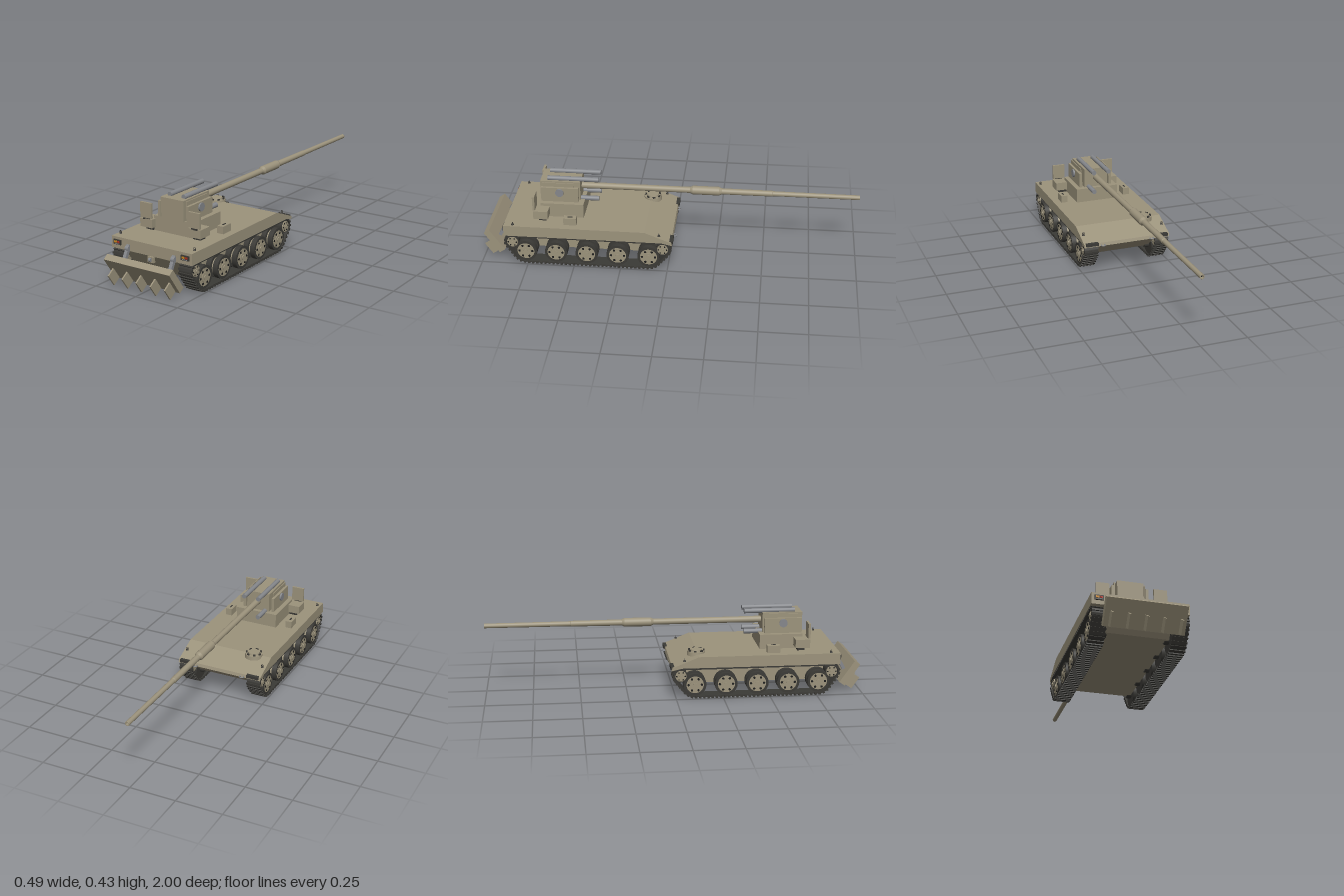
import * as THREE from 'three';

const mat = (color) => new THREE.MeshStandardMaterial({ color });
const TAN = mat(0x9c937c), DARK = mat(0x3b3a36), STEEL = mat(0x85878b);
const ORANGE = mat(0xd08a20), RED = mat(0xb03020), BLACK = mat(0x1c1c1c);

export function createModel() {
  const model = new THREE.Group();
  model.name = 'selfPropelledGun';

  const add = (name, geo, material, x = 0, y = 0, z = 0, parent = model) => {
    const m = new THREE.Mesh(geo, material);
    m.name = name;
    m.position.set(x, y, z);
    parent.add(m);
    return m;
  };
  const box = (name, w, h, d, x, y, z, material = TAN, parent = model) =>
    add(name, new THREE.BoxGeometry(w, h, d), material, x, y, z, parent);
  // cylinder lying along x
  const disc = (name, r, w, x, y, z, material = TAN, parent = model, seg = 28) =>
    add(name, new THREE.CylinderGeometry(r, r, w, seg).rotateZ(Math.PI / 2), material, x, y, z, parent);
  // cylinder lying along z, between z0 and z1
  const rod = (name, r, z0, z1, x, y, material = STEEL) =>
    add(name, new THREE.CylinderGeometry(r, r, Math.abs(z1 - z0), 24).rotateX(Math.PI / 2), material, x, y, (z0 + z1) / 2);
  const toShape = (pts) => new THREE.Shape(pts.map(([z, y]) => new THREE.Vector2(z, y)));
  // side profile in (z, y), extruded across x and centred
  const prism = (shape, width) => new THREE.ExtrudeGeometry(shape, { depth: width, bevelEnabled: false })
    .translate(0, 0, -width / 2).rotateY(-Math.PI / 2);

  // Hull
  add('upperHull', prism(toShape([[0.873, 0.168], [0.873, 0.228], [0.12, 0.228], [-0.02, 0.172],
    [-0.025, 0.155], [0.03, 0.168]]), 0.49), TAN);
  add('lowerHull', prism(toShape([[0.873, 0.172], [0.79, 0.065], [0.1, 0.065], [-0.022, 0.156], [0.04, 0.18]]), 0.326), TAN);

  // Tracks and running gear
  const wheels = [0.76, 0.597, 0.432, 0.266, 0.1];
  const support = (grow) => {
    const circles = [[0.83, 0.127, 0.033], [0.025, 0.124, 0.034], [0.76, 0.075, 0.061], [0.1, 0.075, 0.061]];
    const pts = [];
    for (let i = 0; i < 96; i++) {
      const a = (i / 96) * Math.PI * 2, c = Math.cos(a), s = Math.sin(a);
      const reach = (k) => k[0] * c + k[1] * s + k[2];
      const k = circles.reduce((b, q) => (reach(q) > reach(b) ? q : b));
      pts.push([k[0] + (k[2] + grow) * c, k[1] + (k[2] + grow) * s]);
    }
    return pts.concat([pts[0]]);
  };
  const wheelFace = (parent, r, x, y, z, s) => {
    disc('wheelDisc', r, 0.066, x, y, z, TAN, parent);
    disc('wheelRim', r * 0.55, 0.072, x, y, z, TAN, parent);
    disc('hubCap', r * 0.26, 0.08, x, y, z, TAN, parent, 16);
    for (let i = 0; i < 6; i++) {
      const a = (i / 6) * Math.PI * 2;
      disc('wheelHole', r * 0.14, 0.002, x + s * 0.0335, y + Math.sin(a) * r * 0.76, z + Math.cos(a) * r * 0.76, BLACK, parent, 10);
    }
  };
  const band = toShape(support(0.007));
  band.holes.push(new THREE.Path(support(0).reverse().map((p) => new THREE.Vector2(...p))));
  const links = toShape(support(0.008)).getSpacedPoints(88);
  for (const s of [-1, 1]) {
    const gear = new THREE.Group();
    gear.name = s > 0 ? 'leftTrack' : 'rightTrack';
    model.add(gear);
    add('trackBand', prism(band, 0.076), DARK, s * 0.203, 0, 0, gear);
    for (let i = 0; i < 88; i++) {
      const p = links[i], q = links[i + 1];
      const link = box('trackLink', 0.08, 0.012, 0.011, s * 0.203, (p.y + q.y) / 2, (p.x + q.x) / 2, DARK, gear);
      link.rotation.x = -Math.atan2(q.y - p.y, q.x - p.x);
    }
    for (const z of wheels) {
      for (const dx of [-0.021, 0.021]) disc('tyre', 0.06, 0.027, s * (0.203 + dx), 0.075, z, DARK, gear, 36);
      disc('axle', 0.02, 0.06, s * 0.175, 0.075, z, DARK, gear);
      wheelFace(gear, 0.046, s * 0.205, 0.075, z, s);
    }
    for (const [z, y] of [[0.83, 0.127], [0.025, 0.124]]) {
      disc('sprocketRing', 0.034, 0.06, s * 0.203, y, z, DARK, gear);
      wheelFace(gear, 0.029, s * 0.205, y, z, s);
    }
  }

  // Recoil spade: box tilted so that its top leans forward
  const spade = new THREE.Group();
  spade.name = 'recoilSpade';
  spade.position.set(0, 0.0865, 0.945);
  spade.rotation.x = 0.608;
  model.add(spade);
  box('spadeBlade', 0.4, 0.14, 0.036, 0, 0.007, -0.014, TAN, spade);
  for (let i = -2; i <= 2; i++) box('spadeTooth', 0.008, 0.072, 0.05, i * 0.086, -0.022, 0.028, TAN, spade);
  for (const s of [-1, 1]) {
    const arm = box('spadeArm', 0.018, 0.1, 0.018, s * 0.14, 0.155, 0.893, STEEL);
    arm.rotation.x = -0.5;
    disc('spadePivot', 0.014, 0.02, s * 0.14, 0.182, 0.879, STEEL);
  }
  box('frontBracket', 0.036, 0.03, 0.014, 0, 0.152, 0.872, TAN);
  disc('frontHook', 0.01, 0.012, 0, 0.152, 0.882, STEEL);

  // Lamp clusters
  for (const s of [-1, 1]) {
    box('lampHousing', 0.046, 0.025, 0.008, s * 0.207, 0.202, 0.876, DARK);
    box('orangeLamp', 0.017, 0.01, 0.004, s * 0.207 - 0.009, 0.204, 0.88, ORANGE);
    box('redLamp', 0.013, 0.01, 0.004, s * 0.207 + 0.01, 0.204, 0.88, RED);
    box('lampStrip', 0.03, 0.003, 0.004, s * 0.207, 0.194, 0.88, STEEL);
    box('rearLamp', 0.07, 0.016, 0.03, s * 0.2, 0.168, -0.014, DARK);
    const ring = add('towRing', new THREE.TorusGeometry(0.011, 0.003, 8, 16), STEEL, s * 0.14, 0.16, -0.03);
    ring.rotation.x = Math.PI / 2;
    // lifting eyes on the deck
    for (const [z, y] of [[0.825, 0.229], [0.045, 0.203]]) {
      add('eyeBase', new THREE.CylinderGeometry(0.005, 0.008, 0.008, 10), DARK, s * 0.227, y + 0.002, z);
      add('liftingEye', new THREE.TorusGeometry(0.005, 0.0018, 6, 12), DARK, s * 0.227, y + 0.009, z);
    }
  }

  // Driver hatch
  add('hatchRing', new THREE.CylinderGeometry(0.047, 0.049, 0.022, 32), TAN, -0.145, 0.226, 0.115);
  add('hatchLid', new THREE.CylinderGeometry(0.03, 0.033, 0.012, 32), TAN, -0.145, 0.24, 0.115);
  for (let i = 0; i < 7; i++) {
    const a = (i / 7) * Math.PI * 2;
    const block = box('periscope', 0.014, 0.01, 0.007, -0.145 + Math.sin(a) * 0.04, 0.24, 0.115 + Math.cos(a) * 0.04, DARK);
    block.rotation.y = a;
  }

  // Gun mount
  box('mountBase', 0.242, 0.08, 0.23, 0, 0.266, 0.575);
  box('cradle', 0.136, 0.108, 0.215, 0, 0.359, 0.59);
  for (const s of [-1, 1]) {
    box('innerPlate', 0.005, 0.098, 0.17, s * 0.078, 0.36, 0.6);
    box('cradleLink', 0.03, 0.05, 0.1, s * 0.073, 0.345, 0.59);
    box('sidePlate', 0.016, 0.082, 0.2, s * 0.087, 0.346, 0.59);
    disc('trunnion', 0.022, 0.012, s * 0.098, 0.361, 0.59, STEEL);
    rod('upperRecoilCylinder', 0.013, 0.66, 0.385, s * 0.043, 0.42);
    rod('lowerRecoilCylinder', 0.013, 0.49, 0.385, s * 0.043, 0.308);
    // crew seats
    box('seat', 0.074, 0.045, 0.078, s * 0.149, 0.268, 0.681);
    box('seatPost', 0.045, 0.02, 0.04, s * 0.145, 0.238, 0.675, DARK);
    box('seatBack', 0.069, 0.08, 0.012, s * 0.148, 0.335, 0.716);
    box('seatHinge', 0.04, 0.014, 0.008, s * 0.148, 0.292, 0.716, DARK);
    // deck stowage boxes
    box('deckBox', 0.036, 0.04, 0.068, s * 0.187, 0.247, 0.522);
    box('deckBoxHandle', 0.006, 0.004, 0.025, s * 0.187, 0.268, 0.522, DARK);
  }

  // Barrel, turned around its axis: [radius, distance toward the muzzle]
  const profile = [[0.018, -0.49], [0.0165, -0.3], [0.0165, 0.1], [0.0235, 0.115], [0.0235, 0.255], [0.0165, 0.27],
    [0.0155, 0.54], [0.0135, 0.542], [0.0125, 0.999], [0.012, 1], [0.008, 1], [0.008, 0.94], [0, 0.94]];
  // doubled points keep the steps crisp
  const crisp = profile.flatMap(([r, d]) => [new THREE.Vector2(r, d), new THREE.Vector2(r, d)]);
  add('barrel', new THREE.LatheGeometry(crisp, 28).rotateX(-Math.PI / 2), TAN, 0, 0.362, 0);
  add('bore', new THREE.CircleGeometry(0.008, 20).rotateY(Math.PI), BLACK, 0, 0.362, -0.985);

  return model;
}
